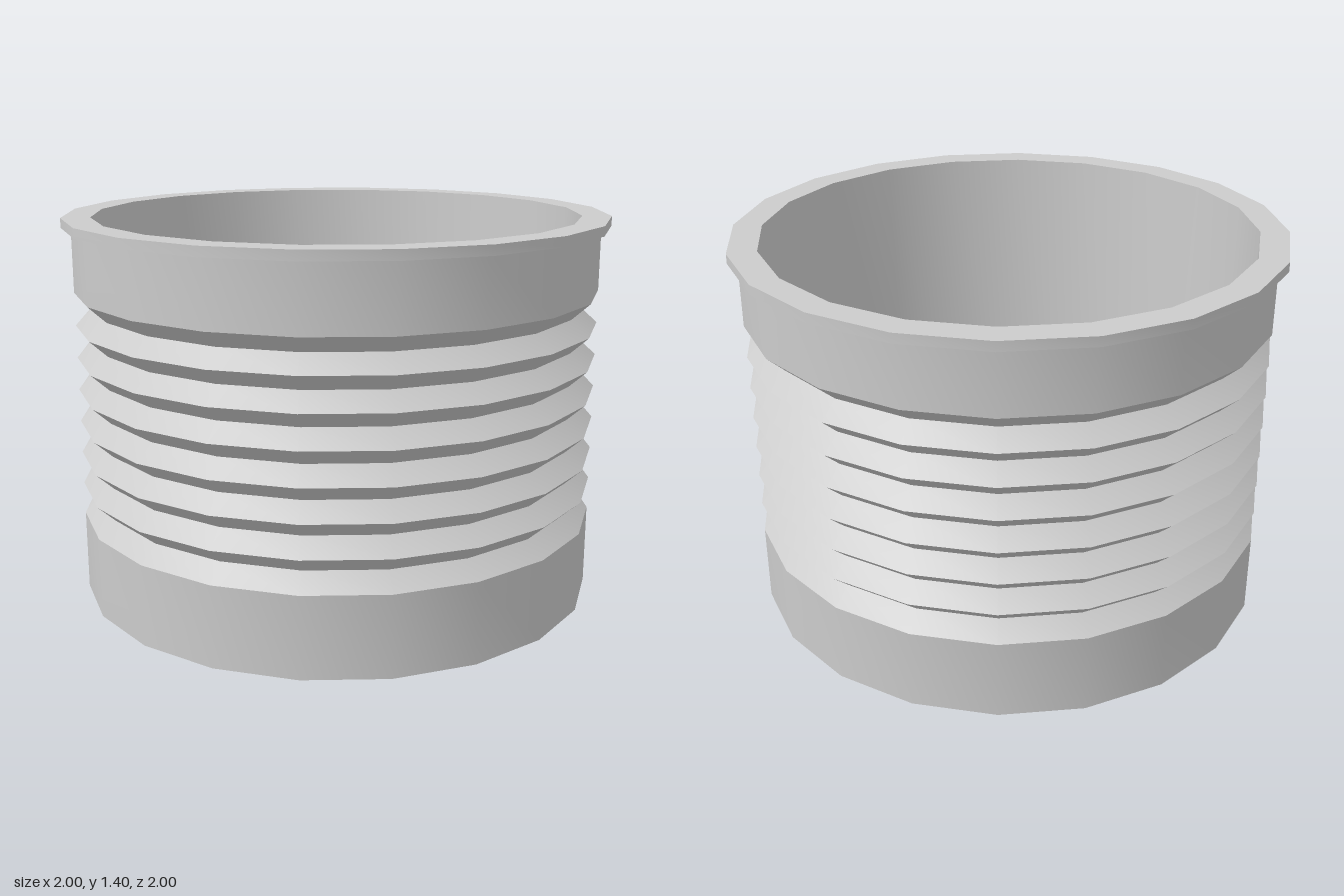
import * as THREE from 'three';
import { toCreasedNormals } from 'three/addons/utils/BufferGeometryUtils.js';

const SIDES = 20;
const OUTER = 0.965, GROOVE = 0.9, RIM = 1;
const HEIGHT = 1.405, RIM_BASE = 1.37;
const RIB_START = 0.295, RIB_STEP = 0.06, GROOVES = 7;
const INNER_TOP = 0.895, INNER_FLOOR = 0.855, FLOOR_Y = 0.07;

const material = new THREE.MeshStandardMaterial({ color: 0xcccccc });

// Revolve a profile, smooth around the axis and sharp along the profile
function revolve(name, profile) {
  const points = profile.map(([r, y]) => new THREE.Vector2(r, y));
  const geometry = toCreasedNormals(new THREE.LatheGeometry(points, SIDES), 0.5);
  const mesh = new THREE.Mesh(geometry, material);
  mesh.name = name;
  return mesh;
}

export function createModel() {
  const model = new THREE.Group();
  model.name = 'ribbedCup';

  // Base and lower band, then zigzag grooves, then the upper band
  const body = [[0, 0], [OUTER, 0]];
  for (let i = 0; i <= GROOVES * 2; i++) {
    body.push([i % 2 ? GROOVE : OUTER, RIB_START + i * RIB_STEP]);
  }
  body.push([OUTER, RIM_BASE]);
  model.add(revolve('ribbedBody', body));

  // Projecting lip
  model.add(revolve('rim', [
    [OUTER, RIM_BASE], [RIM, RIM_BASE], [RIM, HEIGHT], [INNER_TOP, HEIGHT],
  ]));

  // Slightly tapered inside wall and floor
  model.add(revolve('interior', [
    [INNER_TOP, HEIGHT], [INNER_FLOOR, FLOOR_Y], [0, FLOOR_Y],
  ]));

  return model;
}
